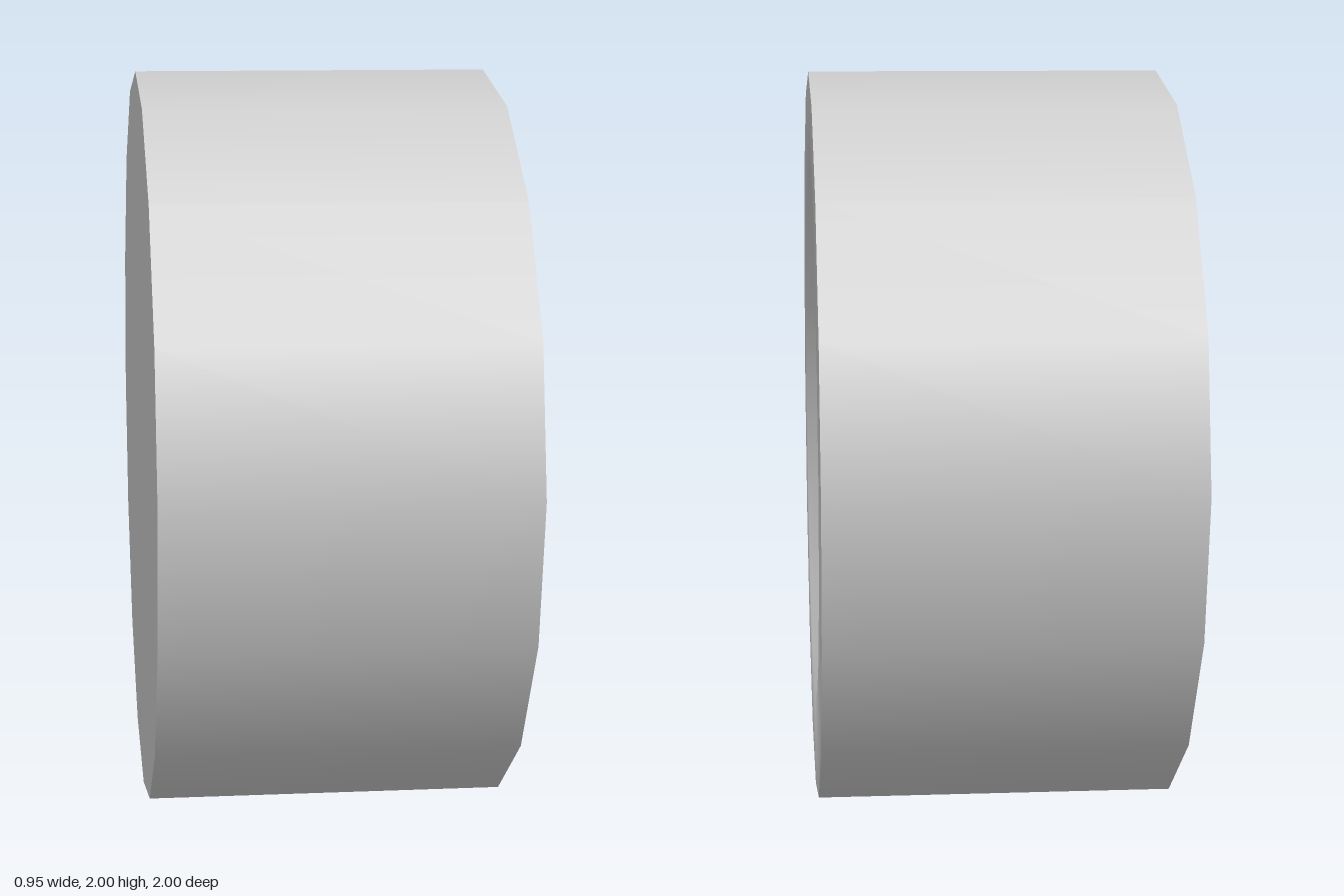
import * as THREE from 'three';

export function createModel() {
  const SIDES = 16, HALF = 0.475;
  const RIM = 0.73, HUB = 0.36, FLOOR = 0.23, SPOKE_FRONT = 0.345, HUB_FRONT = 0.42;
  const material = new THREE.MeshStandardMaterial({ color: 0xcccccc });
  const model = new THREE.Group();
  model.name = 'wheel';

  const add = (name, geometry, parent = model) => {
    const mesh = new THREE.Mesh(geometry, material);
    mesh.name = name;
    parent.add(mesh);
    return mesh;
  };

  // Axle runs along x
  const tread = add('tread', new THREE.CylinderGeometry(1, 1, HALF * 2, SIDES, 1, true));
  tread.rotation.z = -Math.PI / 2;

  const back = add('backFace', new THREE.CircleGeometry(1, SIDES));
  back.rotation.y = -Math.PI / 2;
  back.position.x = -HALF;

  // Sidewall, recessed well and hub wall share one softly shaded profile
  const profile = [[1, HALF], [RIM, HALF], [RIM, FLOOR], [HUB, FLOOR], [HUB, HUB_FRONT]]
    .map(([r, x]) => new THREE.Vector2(r, x));
  const rim = add('sidewallAndRim', new THREE.LatheGeometry(profile, SIDES));
  rim.rotation.z = -Math.PI / 2;

  const cap = add('hubCap', new THREE.CircleGeometry(HUB, SIDES));
  cap.rotation.y = Math.PI / 2;
  cap.position.x = HUB_FRONT;

  // Eight wedge spokes, one on every second side
  const spokes = new THREE.Group();
  spokes.name = 'spokes';
  const step = Math.PI * 2 / SIDES;
  const at = (r, a) => new THREE.Vector2(r * Math.cos(a), r * Math.sin(a));
  const wedge = new THREE.Shape([at(HUB, 0), at(RIM, 0), at(RIM, step), at(HUB, step)]);
  const spokeGeometry = new THREE.ExtrudeGeometry(wedge, { depth: SPOKE_FRONT - FLOOR, bevelEnabled: false });
  for (let i = 0; i < SIDES / 2; i++) {
    add('spoke', spokeGeometry, spokes).rotation.z = i * step * 2;
  }
  spokes.rotation.y = Math.PI / 2;
  spokes.position.x = FLOOR;
  model.add(spokes);

  // Stand the wheel on the ground
  model.children.forEach((part) => { part.position.y = 1; });
  return model;
}
